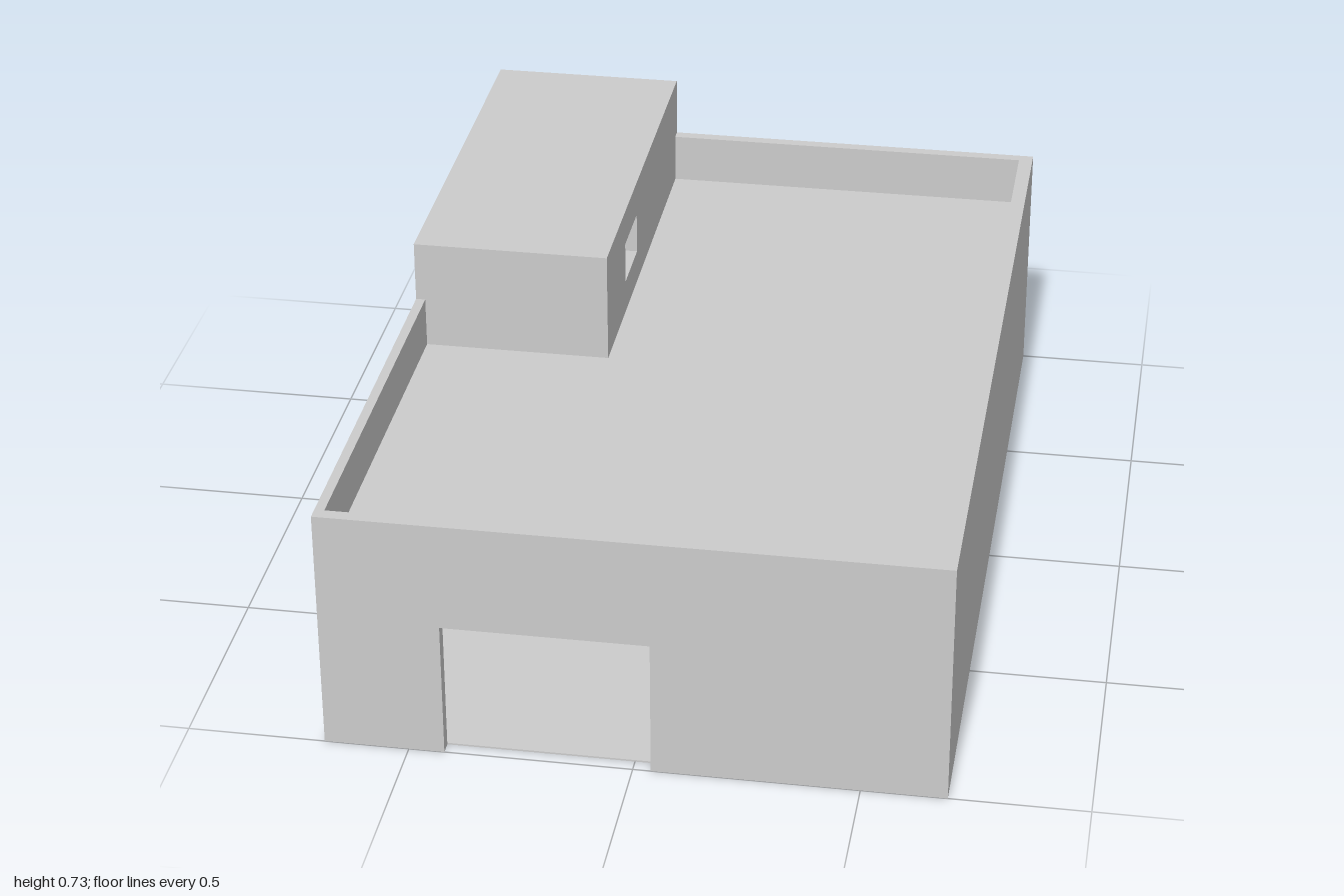
import * as THREE from 'three';

const material = new THREE.MeshStandardMaterial({ color: 0xcccccc, flatShading: true });

// Main dimensions
const X = 0.69, Z = 1;                        // outer half sizes
const inner = { left: 0.656, right: -0.668, front: 0.97, back: -0.973 };
const PARAPET = 0.58, ROOF = 0.46, SLAB = 0.03, FLOOR = 0.004;
const HUT = { x: -0.23, z: 0, top: 0.725, wall: 0.03, roof: 0.025 };

function add(group, name, geometry) {
  const mesh = new THREE.Mesh(geometry, material);
  mesh.name = name;
  group.add(mesh);
  return mesh;
}

// Box given by its limits on each axis
function block(group, name, x0, x1, y0, y1, z0, z1) {
  const mesh = add(group, name, new THREE.BoxGeometry(x1 - x0, y1 - y0, z1 - z0));
  mesh.position.set((x0 + x1) / 2, (y0 + y1) / 2, (z0 + z1) / 2);
}

function outline(points) {
  return new THREE.Shape(points.map(([a, b]) => new THREE.Vector2(a, b)));
}

// Wall drawn in x, y and extruded from z0 to z1
function wallAlongX(group, name, shape, z0, z1) {
  const geometry = new THREE.ExtrudeGeometry(shape, { depth: z1 - z0, bevelEnabled: false });
  add(group, name, geometry.translate(0, 0, z0));
}

// Wall drawn in z, y and extruded from x0 to x1
function wallAlongZ(group, name, shape, x0, x1) {
  const geometry = new THREE.ExtrudeGeometry(shape, { depth: x1 - x0, bevelEnabled: false });
  add(group, name, geometry.rotateY(-Math.PI / 2).translate(x1, 0, 0));
}

export function createModel() {
  const building = new THREE.Group();
  building.name = 'building';
  const hutWallTop = HUT.top - HUT.roof;

  // Front wall with the doorway cut out
  wallAlongX(building, 'frontWall', outline([
    [inner.right, 0], [-0.42, 0], [-0.42, 0.325], [0.04, 0.325], [0.04, 0],
    [inner.left, 0], [inner.left, PARAPET], [inner.right, PARAPET],
  ]), inner.front, Z);

  // Back and right walls step up to carry the rooftop room
  wallAlongX(building, 'backWall', outline([
    [inner.right, 0], [inner.left, 0], [inner.left, PARAPET],
    [HUT.x, PARAPET], [HUT.x, hutWallTop], [inner.right, hutWallTop],
  ]), -Z, inner.back);
  wallAlongZ(building, 'rightWall', outline([
    [-Z, 0], [Z, 0], [Z, PARAPET], [HUT.z, PARAPET], [HUT.z, hutWallTop], [-Z, hutWallTop],
  ]), -X, inner.right);

  block(building, 'leftWall', inner.left, X, 0, PARAPET, -Z, Z);

  // Floor and flat roof inside the walls
  block(building, 'floor', inner.right, inner.left, 0, FLOOR, inner.back, inner.front);
  block(building, 'roof', inner.right, inner.left, ROOF - SLAB, ROOF, inner.back, inner.front);

  // Rooftop room with a window in its left wall
  const room = new THREE.Group();
  room.name = 'rooftopRoom';
  building.add(room);
  block(room, 'roomFrontWall', inner.right, HUT.x - HUT.wall, ROOF, hutWallTop, HUT.z - HUT.wall, HUT.z);
  const side = outline([
    [inner.back, ROOF], [HUT.z, ROOF], [HUT.z, hutWallTop], [inner.back, hutWallTop],
  ]);
  side.holes.push(outline([[-0.4, 0.54], [-0.4, 0.64], [-0.24, 0.64], [-0.24, 0.54]]));
  wallAlongZ(room, 'roomWindowWall', side, HUT.x - HUT.wall, HUT.x);
  block(room, 'roomRoof', -X, HUT.x, hutWallTop, HUT.top, -Z, HUT.z);

  return building;
}
